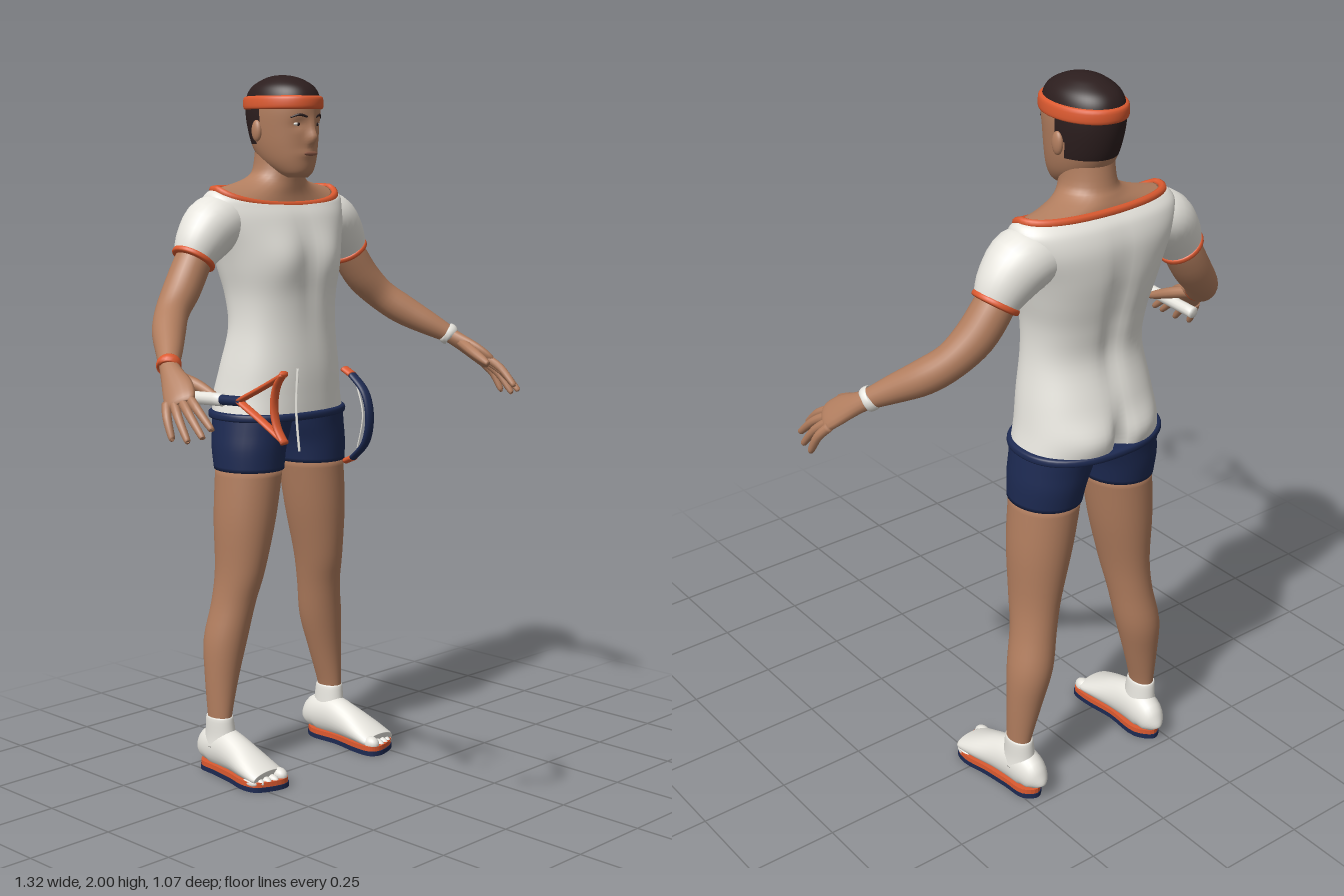
import * as THREE from 'three';

const mat = (name, color) => Object.assign(new THREE.MeshStandardMaterial({ color }), { name });
const skin = mat('skin', 0xb27e5f), lip = mat('lips', 0x8f5c48), hair = mat('hair', 0x2c1e1e);
const white = mat('white cloth', 0xe8e6df), orange = mat('orange trim', 0xdc5a30), navy = mat('navy', 0x1d2a52);

const V = (x, y, z) => new THREE.Vector3(x, y, z);
const bump = (v, c, w) => Math.exp(-(((v - c) / w) ** 2));

// Catmull-Rom smoothing of rows of numbers
function smooth(rows, m) {
  const out = [];
  for (let i = 0; i < rows.length - 1; i++) {
    const [p, q, r, s] = [-1, 0, 1, 2].map(o => rows[Math.min(rows.length - 1, Math.max(0, i + o))]);
    for (let k = 0; k < m; k++) {
      const t = k / m;
      out.push(q.map((b, j) => {
        const c1 = r[j] - p[j], c2 = 2 * p[j] - 5 * b + 4 * r[j] - s[j], c3 = 3 * (b - r[j]) + s[j] - p[j];
        return b + 0.5 * t * (c1 + t * (c2 + t * c3));
      }));
    }
  }
  return out.concat([rows[rows.length - 1]]);
}

// closed skin over rings of points; pick(centre) chooses the material index
function surface(name, rings, mats, pick) {
  const n = rings[0].length, pts = rings.flat(), lists = [[], []];
  rings.slice(1).forEach((_, i) => {
    for (let j = 0; j < n; j++) {
      const a = i * n + j, b = i * n + (j + 1) % n, c = a + n, d = b + n;
      const mid = pts[a].clone().add(pts[d]).multiplyScalar(0.5);
      lists[pick ? pick(mid) : 0].push(a, c, b, b, c, d);
    }
  });
  // end caps
  [0, rings.length - 1].forEach((r, e) => {
    const centre = rings[r].reduce((s, p) => s.add(p), V(0, 0, 0)).divideScalar(n);
    const o = pts.push(centre) - 1;
    for (let j = 0; j < n; j++) {
      const a = r * n + j, b = r * n + (j + 1) % n;
      lists[pick ? pick(centre) : 0].push(...(e ? [a, o, b] : [a, b, o]));
    }
  });
  const g = new THREE.BufferGeometry().setFromPoints(pts);
  g.setIndex(lists.flat());
  if (pick) {
    g.addGroup(0, lists[0].length, 0);
    g.addGroup(lists[0].length, lists[1].length, 1);
  }
  g.computeVertexNormals();
  const mesh = new THREE.Mesh(g, mats);
  mesh.name = name;
  return mesh;
}

// horizontal ring: [y, cx, rx, zFront, zBack, exponent, front dip]
function ring([y, cx, rx, zf, zb, e = 2, dip = 0], n) {
  const pw = v => Math.sign(v) * Math.abs(v) ** (2 / e);
  return Array.from({ length: n }, (_, j) => {
    const a = j / n * Math.PI * 2, s = Math.sin(a);
    return V(cx + rx * pw(Math.cos(a)), y - dip * Math.max(0, s), (zf + zb) / 2 + (zf - zb) / 2 * pw(s));
  });
}
function loft(name, rows, mats, { n = 32, m = 4, shape, pick } = {}) {
  const rings = smooth(rows, m).map(r => ring(r, n));
  if (shape) rings.flat().forEach(shape);
  return surface(name, rings, mats, pick);
}

// limb along a path: rows [x, y, z, half width along ref, half thickness]
function limb(name, rows, mats, { n = 16, m = 4, ref = V(0, 0, 1) } = {}) {
  const rs = smooth(rows, m), P = rs.map(r => V(r[0], r[1], r[2]));
  const rings = rs.map((r, i) => {
    const t = P[Math.min(i + 1, P.length - 1)].clone().sub(P[Math.max(i - 1, 0)]).normalize();
    const s = ref.clone().addScaledVector(t, -ref.dot(t)).normalize(), u = s.clone().cross(t);
    return Array.from({ length: n }, (_, j) => {
      const a = j / n * Math.PI * 2;
      return P[i].clone().addScaledVector(s, r[3] * Math.cos(a)).addScaledVector(u, r[4] * Math.sin(a));
    });
  });
  return surface(name, rings, mats);
}
function ball(name, p, s, m) {
  const b = new THREE.Mesh(new THREE.SphereGeometry(1, 16, 12), m);
  b.position.set(...p);
  b.scale.set(...s);
  b.name = name;
  return b;
}

function head() {
  const g = new THREE.Group();
  g.name = 'head';
  const rows = [[1.715, 0, .03, -.262, -.31], [1.73, 0, .05, -.246, -.36], [1.76, 0, .069, -.238, -.41], [1.8, 0, .081, -.235, -.44],
    [1.85, 0, .088, -.231, -.458], [1.9, 0, .091, -.225, -.467], [1.94, 0, .087, -.227, -.464], [1.968, 0, .074, -.245, -.446],
    [1.988, 0, .048, -.282, -.41], [1.997, 0, .025, -.315, -.38], [2, 0, .003, -.344, -.35]];
  // nose, lips and eye sockets
  const sculpt = p => {
    if (p.z < -.3) return;
    p.z += .022 * bump(p.x, 0, .014) * bump(p.y, 1.825, .02) + .01 * bump(p.x, 0, .01) * bump(p.y, 1.855, .025)
      + .006 * bump(p.x, 0, .03) * bump(p.y, 1.782, .012) - .007 * bump(Math.abs(p.x), .036, .016) * bump(p.y, 1.863, .014);
  };
  const isHair = p => +(p.y > 1.92 || (p.y > 1.81 && p.z < -.372) || (p.y > 1.86 && p.z < -.35));
  g.add(loft('face and hair', rows, [skin, hair], { n: 64, m: 6, shape: sculpt, pick: isHair }));
  g.add(loft('headband', [[1.904, 0, .089, -.228, -.462], [1.909, 0, .097, -.217, -.473], [1.936, 0, .095, -.217, -.473], [1.942, 0, .085, -.23, -.46]], orange, { n: 48 }));
  for (const k of [-1, 1]) {
    g.add(ball('ear', [k * .09, 1.845, -.358], [.011, .03, .018], skin));
    g.add(ball('eye', [k * .036, 1.863, -.2495], [.014, .005, .006], white));
    g.add(ball('iris', [k * .036, 1.863, -.246], [.006, .005, .004], hair));
    g.add(limb('eyebrow', [[k * .017, 1.883, -.229, .003, .003], [k * .038, 1.889, -.238, .004, .004], [k * .058, 1.881, -.254, .002, .002]], hair, { n: 8 }));
  }
  g.add(ball('mouth', [0, 1.782, -.233], [.026, .0065, .006], lip));
  return g;
}

function hand(k) {
  const g = new THREE.Group();
  g.name = 'hand';
  const ref = V(k * .4, -.3, -.8);
  g.add(limb('palm', [[k * .55, 1.238, -.205, .025, .023], [k * .568, 1.215, -.17, .032, .022], [k * .588, 1.185, -.125, .044, .02],
    [k * .605, 1.16, -.095, .044, .017], [k * .611, 1.15, -.085, .034, .01]], skin, { ref }));
  const tips = [[.598, 1.1, .013], [.624, 1.082, .008], [.64, 1.07, -.03], [.65, 1.072, -.078]];
  tips.forEach(([x, y, z], i) => {
    const f = i / 3, b = [.588 + .036 * f, 1.172 - .022 * f, -.085 - .042 * f];
    g.add(limb('finger', [[k * b[0], b[1], b[2], .013, .013], [k * ((b[0] + x) / 2 + .006), (b[1] + y) / 2 + .007, (b[2] + z) / 2, .012, .012],
      [k * x, y, z, .009, .009], [k * (x + .001), y - .005, z + .005, .004, .004]], skin, { n: 10, ref }));
  });
  g.add(limb('thumb', [[k * .562, 1.215, -.165, .016, .016], [k * .543, 1.195, -.105, .016, .016], [k * .534, 1.172, -.05, .012, .012],
    [k * .531, 1.162, -.027, .007, .007]], skin, { n: 10, ref }));
  return g;
}

function arm(k) {
  const g = new THREE.Group();
  g.name = k > 0 ? 'leftArm' : 'rightArm';
  g.add(limb('sleeve', [[k * .15, 1.595, -.395, .08, .066], [k * .22, 1.587, -.392, .086, .083], [k * .272, 1.54, -.39, .073, .074],
    [k * .302, 1.494, -.39, .058, .057]], white, { n: 28 }));
  g.add(limb('sleeveTrim', [[k * .296, 1.503, -.39, .055, .055], [k * .298, 1.5, -.39, .063, .062], [k * .304, 1.491, -.39, .063, .062],
    [k * .306, 1.488, -.39, .053, .053]], orange, { n: 28 }));
  g.add(limb('arm', [[k * .28, 1.527, -.39, .048, .048], [k * .31, 1.48, -.388, .053, .051], [k * .355, 1.415, -.378, .053, .051],
    [k * .41, 1.358, -.355, .047, .046], [k * .46, 1.312, -.31, .046, .045], [k * .51, 1.27, -.25, .037, .036], [k * .555, 1.234, -.198, .026, .025]], skin, { n: 24 }));
  g.add(limb('wristband', [[k * .544, 1.243, -.211, .027, .026], [k * .546, 1.241, -.209, .033, .032], [k * .554, 1.235, -.199, .033, .032],
    [k * .556, 1.233, -.197, .026, .025]], k > 0 ? white : orange, { n: 20 }));
  g.add(hand(k));
  return g;
}

function leg(k) {
  const g = new THREE.Group();
  g.name = k > 0 ? 'leftLeg' : 'rightLeg';
  g.add(loft('shortsLeg', [[.89, k * .123, .097, -.263, -.474], [.95, k * .119, .101, -.258, -.487], [1, k * .108, .106, -.254, -.495], [1.045, k * .1, .107, -.248, -.505]], navy));
  g.add(loft('leg', [[.13, k * .224, .028, -.357, -.435], [.17, k * .224, .03, -.354, -.436], [.28, k * .21, .047, -.348, -.452], [.39, k * .193, .061, -.335, -.467],
    [.5, k * .172, .06, -.318, -.457], [.6, k * .157, .066, -.293, -.455], [.75, k * .14, .085, -.274, -.466], [.9, k * .122, .094, -.268, -.47]], skin));
  g.add(loft('sock', [[.08, k * .222, .041, -.33, -.455], [.115, k * .222, .037, -.342, -.447], [.164, k * .224, .034, -.35, -.441], [.167, k * .224, .028, -.356, -.434]], white));

  // foot with separate toes
  const foot = [[-.472, .214, .016, .05], [-.462, .214, .034, .075], [-.43, .216, .044, .115], [-.37, .219, .046, .122],
    [-.31, .222, .05, .103], [-.25, .226, .058, .075], [-.2, .227, .06, .05], [-.185, .227, .056, .042]];
  g.add(limb('shoe', foot.map(([z, x, w, h]) => [k * x, h / 2 + .012, z, w, h / 2]), white, { n: 28, ref: V(1, 0, 0) }));
  [[.189, -.182, .02], [.217, -.185, .0135], [.239, -.19, .013], [.259, -.198, .012], [.276, -.21, .0115]].forEach(([x, z, r]) =>
    g.add(ball('toe', [k * x, .012 + r, z], [r, r * 1.05, .028], white)));

  // sole outline, as [x, -z]
  const edge = [[.215, .473], [.252, .45], [.262, .38], [.274, .3], [.289, .23], [.281, .186], [.25, .164], [.195, .15], [.168, .165], [.163, .22], [.176, .32], [.176, .43]];
  const sole = (name, y, h, m, grow) => {
    const corners = edge.map(([x, z]) => V(k * (.225 + (x - .225) * grow), .31 + (z - .31) * grow, 0));
    const pts = new THREE.CatmullRomCurve3(corners, true).getPoints(48).slice(0, -1);
    const outline = new THREE.Shape(pts.map(p => new THREE.Vector2(p.x, p.y)));
    const geo = new THREE.ExtrudeGeometry(outline, { depth: h, bevelEnabled: false });
    const s = new THREE.Mesh(geo.rotateX(-Math.PI / 2).translate(0, y, 0), m);
    s.name = name;
    g.add(s);
  };
  sole('sole', 0, .014, navy, 1);
  sole('soleTrim', .014, .014, orange, .985);
  return g;
}

function torso() {
  const g = new THREE.Group();
  g.name = 'torso';
  const rows = [[1.045, 0, .206, -.23, -.525, 2.3, 0], [1.1, 0, .195, -.229, -.528, 2.3, 0], [1.18, 0, .184, -.229, -.508, 2.3, 0], [1.29, 0, .168, -.235, -.478, 2.3, 0],
    [1.38, 0, .17, -.236, -.486, 2.4, 0], [1.46, 0, .188, -.236, -.501, 2.5, 0], [1.53, 0, .208, -.244, -.511, 2.5, 0], [1.6, 0, .235, -.265, -.511, 2.5, 0],
    [1.65, 0, .245, -.283, -.497, 2.4, .015], [1.675, 0, .235, -.29, -.478, 2.3, .032], [1.684, 0, .216, -.297, -.465, 2.3, .045]];
  // chest, spine and seat modelling
  const sculpt = p => {
    const x = Math.abs(p.x);
    if (p.z > -.37) p.z += .014 * bump(x, .085, .06) * bump(p.y, 1.49, .07) - .006 * bump(x, 0, .03) * bump(p.y, 1.45, .15);
    else p.z += .016 * bump(x, 0, .03) * bump(p.y, 1.4, .18) + .03 * bump(x, 0, .022) * bump(p.y, 1.07, .07) - .012 * bump(x, .09, .06) * bump(p.y, 1.09, .05);
  };
  g.add(loft('shirt', rows, white, { n: 72, m: 5, shape: sculpt }));
  const collar = new THREE.CatmullRomCurve3(ring([1.683, 0, .217, -.296, -.466, 2.3, .045], 48), true);
  const trim = new THREE.Mesh(new THREE.TubeGeometry(collar, 96, .011, 8, true), orange);
  trim.name = 'collarTrim';
  g.add(trim);
  g.add(loft('neck and shoulders', [[1.684, 0, .212, -.298, -.464, 2.3, .043], [1.698, 0, .145, -.3, -.46, 2.2, .03], [1.715, 0, .094, -.297, -.453, 2, .015],
    [1.74, 0, .071, -.293, -.442, 2, 0], [1.81, 0, .066, -.298, -.43, 2, 0]], skin));
  g.add(loft('waistband', [[1.033, 0, .2, -.24, -.515, 2.3], [1.036, 0, .214, -.222, -.535, 2.3], [1.053, 0, .214, -.222, -.535, 2.3], [1.057, 0, .2, -.24, -.515, 2.3]], navy, { n: 48 }));
  return g;
}

function racket() {
  const g = new THREE.Group();
  g.name = 'racket';
  // bars in the plane x = -0.555, through [z, y] points
  const bar = (name, pts, a, b, m) => g.add(limb(name, pts.map(([z, y]) => [-.555, y, z, a, b]), m, { n: 12, m: 6, ref: V(1, 0, 0) }));
  bar('grip', [[-.19, 1.16], [.01, 1.168]], .017, .017, white);
  bar('shaft', [[.005, 1.168], [.085, 1.171]], .013, .013, navy);
  bar('upperFork', [[.075, 1.172], [.16, 1.212], [.24, 1.252]], .013, .007, orange);
  bar('lowerFork', [[.075, 1.17], [.16, 1.128], [.24, 1.085]], .013, .007, orange);
  bar('throat', [[.24, 1.257], [.213, 1.22], [.203, 1.17], [.213, 1.12], [.24, 1.081]], .013, .007, orange);
  bar('string', [[.288, 1.272], [.282, 1.17], [.292, 1.068]], .002, .004, white);
  bar('rim', [[.472, 1.274], [.515, 1.235], [.53, 1.178], [.517, 1.117], [.475, 1.075]], .013, .007, navy);
  bar('upperRimTip', [[.448, 1.285], [.474, 1.273]], .0135, .0075, orange);
  bar('lowerRimTip', [[.453, 1.066], [.477, 1.076]], .0135, .0075, orange);
  bar('rimString', [[.488, 1.25], [.508, 1.18], [.49, 1.1]], .002, .002, white);
  return g;
}

export function createModel() {
  const model = new THREE.Group();
  model.name = 'tennisPlayer';
  model.add(head(), torso(), racket());
  for (const k of [-1, 1]) model.add(arm(k), leg(k));
  return model;
}
